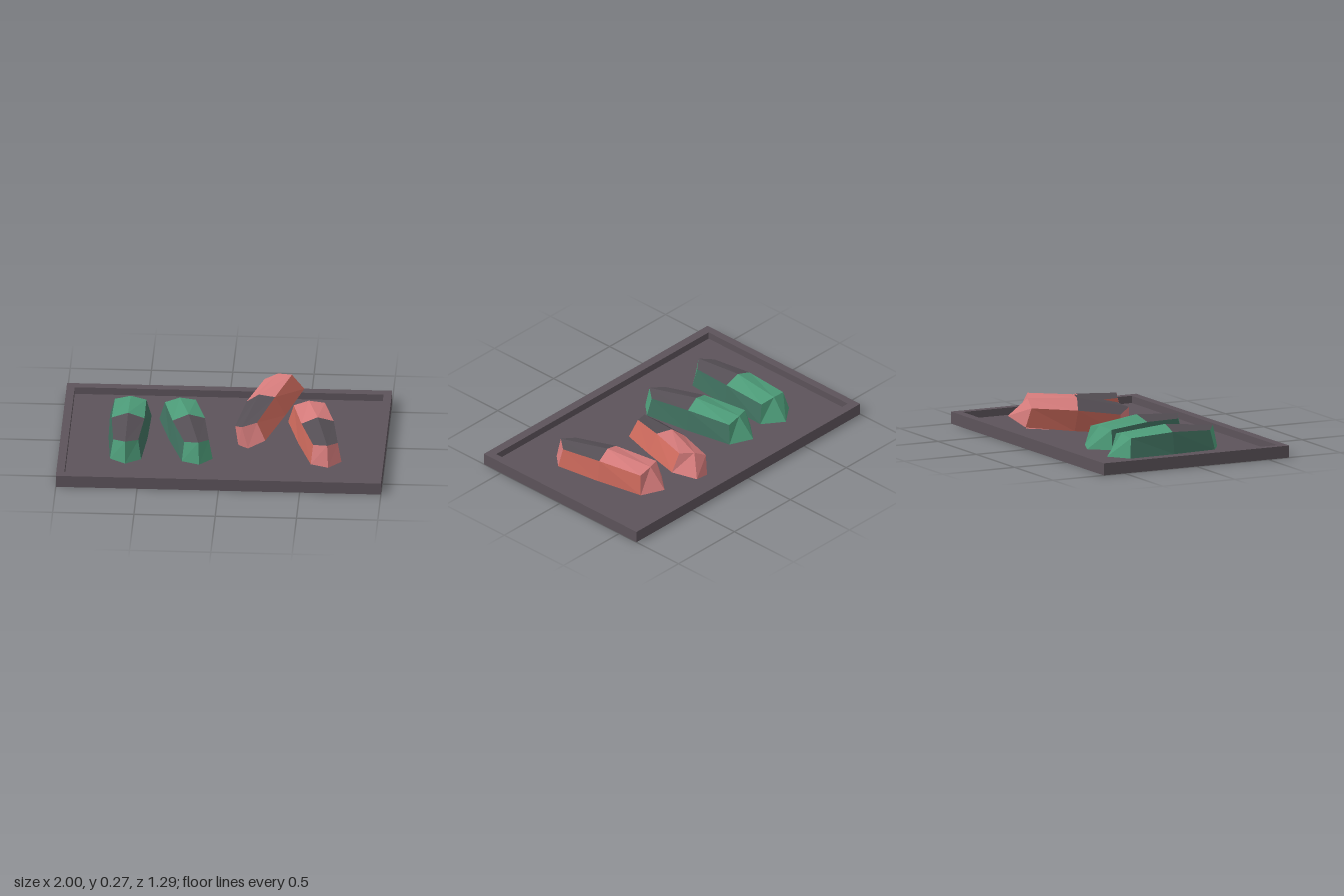
import * as THREE from 'three';

const material = (name, color) => Object.assign(new THREE.MeshStandardMaterial({ color, flatShading: true }), { name });

// Half cross-sections: bottom edge, shoulder, ridge and bottom centre
const RINGS = [
  { bottom: [0.096, 0, 0.295], shoulder: [0.077, 0.12, 0.272], ridge: [0, 0.136, 0.332], centre: [0, 0, 0.362] },
  { bottom: [0.12, 0, 0], shoulder: [0.101, 0.135, 0], ridge: [0, 0.17, 0], centre: [0, 0, 0] },
  { bottom: [0.128, 0, -0.31], shoulder: [0.097, 0.12, -0.29], ridge: [0, 0.136, -0.305], centre: [0, 0, -0.405] },
].map(({ bottom, shoulder, ridge, centre }) => {
  const mirror = ([x, y, z]) => [-x, y, z];
  return [mirror(bottom), mirror(shoulder), ridge, shoulder, bottom, centre];
});

// Flat-shaded mesh from a list of quads
function panel(name, quads, mat) {
  const points = quads.flatMap(([a, b, c, d]) => [a, b, c, a, c, d]);
  const geometry = new THREE.BufferGeometry();
  geometry.setAttribute('position', new THREE.Float32BufferAttribute(points.flat(), 3));
  geometry.computeVertexNormals();
  const mesh = new THREE.Mesh(geometry, mat);
  mesh.name = name;
  return mesh;
}

function slipper(name, upper, side, insole) {
  const [heel, mid, toe] = RINGS;
  const strip = (a, b, ...ks) => ks.map((k) => [a[k], a[(k + 1) % 6], b[(k + 1) % 6], b[k]]);
  const cap = (r) => [[r[0], r[5], r[2], r[1]], [r[5], r[4], r[3], r[2]]];
  const group = new THREE.Group();
  group.name = name;
  group.add(
    panel('insole', strip(heel, mid, 1, 2), insole),
    panel('toeCover', strip(mid, toe, 1, 2), upper),
    panel('sides', [...strip(heel, mid, 0, 3), ...strip(mid, toe, 0, 3)], side),
    panel('heelEnd', cap(heel), upper),
    panel('toeEnd', cap(toe).map((q) => q.reverse()), upper),
    panel('sole', [...strip(heel, mid, 4, 5), ...strip(mid, toe, 4, 5)], upper),
  );
  return group;
}

const rectangle = (Type, w, d) => new Type([[-w, -d], [w, -d], [w, d], [-w, d]].map(([x, y]) => new THREE.Vector2(x, y)));

export function createModel() {
  const trayGrey = material('trayGrey', 0x5c535a);
  const insoleGrey = material('insoleGrey', 0x544e54);
  const green = material('green', 0x4d9c79);
  const greenSide = material('darkGreen', 0x3f6f5e);
  const pink = material('pink', 0xd67c7c);
  const redSide = material('brickRed', 0xc8675a);
  const floorY = 0.03;

  const model = new THREE.Group();
  model.name = 'slipperTray';

  // Tray rim and sunken floor
  const rimShape = rectangle(THREE.Shape, 1, 0.645);
  rimShape.holes.push(rectangle(THREE.Path, 0.95, 0.588));
  const rim = new THREE.Mesh(new THREE.ExtrudeGeometry(rimShape, { depth: 0.075, bevelEnabled: false }).rotateX(-Math.PI / 2), trayGrey);
  rim.name = 'trayRim';
  const floor = new THREE.Mesh(new THREE.BoxGeometry(1.9, floorY, 1.176).translate(0, floorY / 2, 0), trayGrey);
  floor.name = 'trayFloor';
  model.add(rim, floor);

  // Green pair and the flat-lying pink slipper
  const flat = [
    ['greenSlipperStraight', -0.59, 0, green, greenSide],
    ['greenSlipperTurned', -0.217, 0.231, green, greenSide],
    ['pinkSlipperFlat', 0.576, 0.231, pink, redSide],
  ];
  for (const [name, x, turn, upper, side] of flat) {
    const s = slipper(name, upper, side, insoleGrey);
    s.position.set(x, floorY, 0);
    s.rotation.y = turn;
    model.add(s);
  }

  // Pink slipper leaning on its neighbour
  const leaning = slipper('pinkSlipperLeaning', pink, redSide, insoleGrey);
  const zAxis = new THREE.Vector3(-0.3, -0.12, 0.945).normalize();
  const yAxis = zAxis.clone().cross(new THREE.Vector3(0.885, 0.334, 0.325)).normalize();
  const xAxis = yAxis.clone().cross(zAxis);
  leaning.quaternion.setFromRotationMatrix(new THREE.Matrix4().makeBasis(xAxis, yAxis, zAxis));
  leaning.position.set(0.264, 0.093, -0.192);
  model.add(leaning);

  return model;
}
